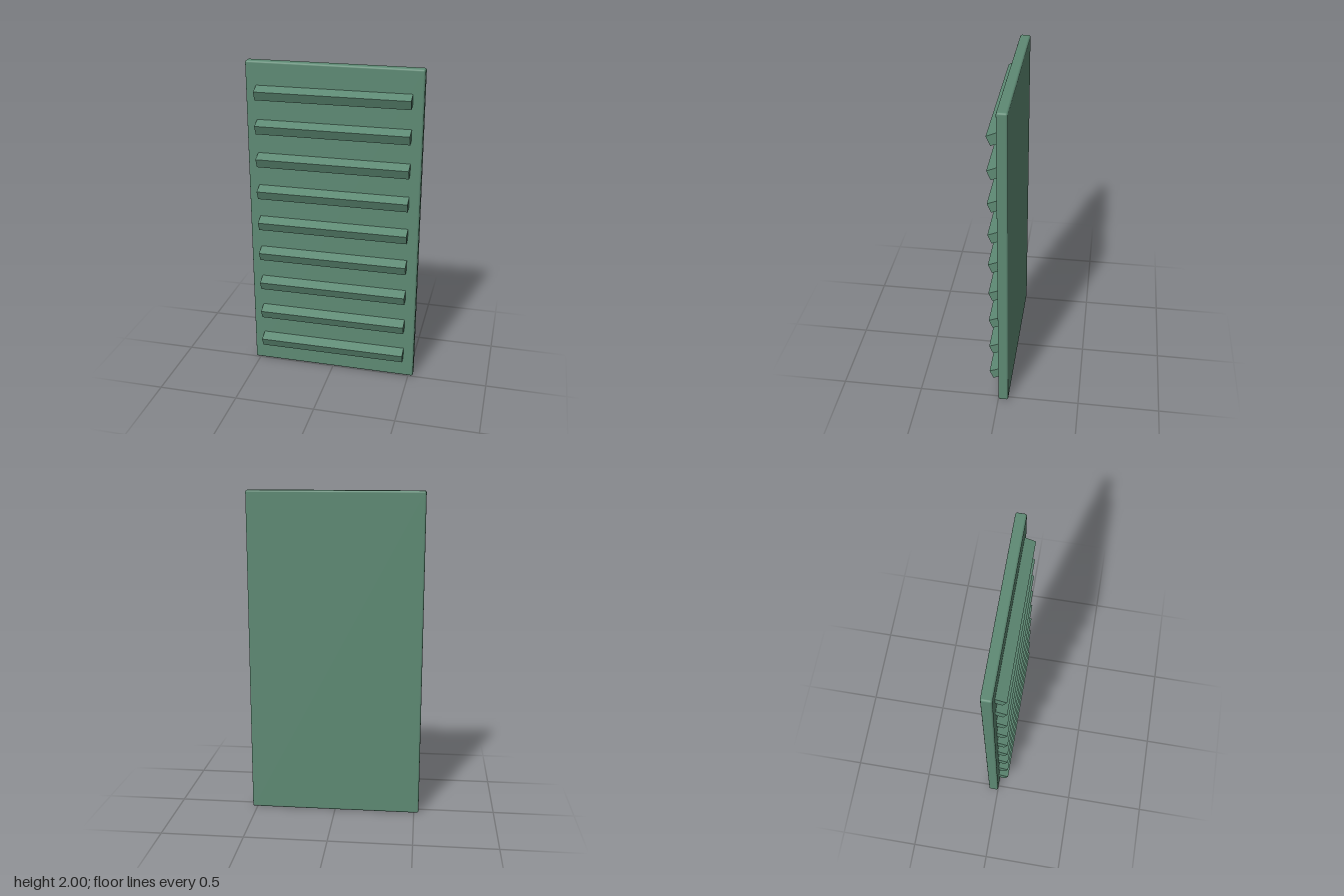
import * as THREE from 'three';
import { RoundedBoxGeometry } from 'three/addons/geometries/RoundedBoxGeometry.js';

export function createModel() {
  const group = new THREE.Group();
  group.name = 'louveredShutter';
  const material = new THREE.MeshStandardMaterial({ color: 0x5e8a74 });

  // Backing panel with softly rounded edges
  const depth = 0.062;
  const panel = new THREE.Mesh(new RoundedBoxGeometry(1.06, 2, depth, 3, 0.012), material);
  panel.name = 'panel';
  panel.position.set(0, 1, -depth / 2);
  group.add(panel);

  // Slats tilted down towards the front, their backs sunk into the panel
  const tilt = 0.4, height = 0.06, length = 0.09;
  const slatGeometry = new THREE.BoxGeometry(0.93, height, length);
  slatGeometry.translate(0, -height / 2, -length / 2); // pivot on the upper front edge
  const slats = new THREE.Group();
  slats.name = 'slats';
  for (let i = 0; i < 9; i++) {
    const slat = new THREE.Mesh(slatGeometry, material);
    slat.name = `slat${i + 1}`;
    slat.position.set(0, 0.175 + i * 0.207, 0.062);
    slat.rotation.x = tilt;
    slats.add(slat);
  }
  group.add(slats);
  return group;
}
